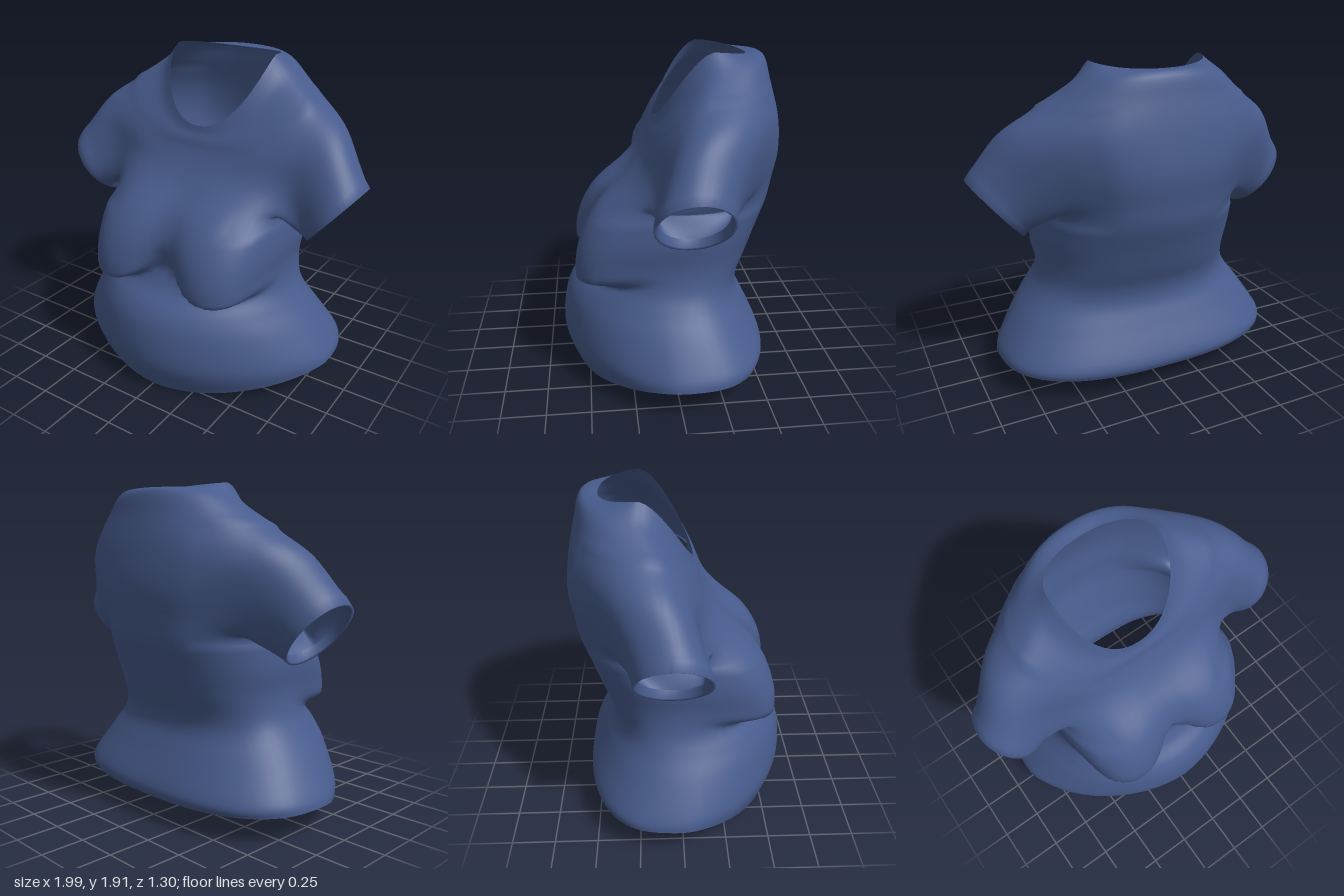
import * as THREE from 'three';

const COLS = 64, SUB = 6;              // columns around the body, rows per key ring
const HOLE = { low: 46, high: 60, half: 6 }; // armhole block in the body grid
const SLEEVE_STEPS = 10;

// Key rings: ySide, yFront, yBack, halfWidth, zFront, zBack, zMiddle,
// front roundness, back roundness, y power
const KEYS = [
  [0.165, 0.00, 0.14, 0.88, 0.58, -0.55, -0.04, 1.8, 2.6, 2],
  [0.23, 0.19, 0.21, 0.86, 0.65, -0.56, -0.04, 1.8, 2.6, 2],
  [0.40, 0.40, 0.40, 0.75, 0.635, -0.47, -0.03, 1.9, 2.4, 2],
  [0.52, 0.52, 0.52, 0.66, 0.58, -0.42, -0.02, 2.0, 2.3, 2],
  [0.62, 0.62, 0.62, 0.605, 0.47, -0.425, -0.03, 2.2, 2.3, 2],
  [0.75, 0.75, 0.75, 0.585, 0.41, -0.48, -0.04, 2.3, 2.3, 2],
  [0.90, 0.90, 0.90, 0.60, 0.43, -0.54, -0.06, 2.4, 2.2, 2],
  [1.05, 1.05, 1.05, 0.595, 0.37, -0.60, -0.08, 2.5, 2.2, 2],
  [1.18, 1.18, 1.18, 0.61, 0.25, -0.625, -0.11, 2.5, 2.2, 1.6],
  [1.38, 1.28, 1.35, 0.68, 0.18, -0.65, -0.12, 2.5, 2.2, 1.4],
  [1.61, 1.37, 1.55, 0.74, 0.13, -0.63, -0.13, 2.5, 2.2, 1.3],
  [1.71, 1.43, 1.74, 0.57, 0.11, -0.59, -0.17, 2.4, 2.2, 1.3],
  [1.82, 1.47, 1.875, 0.42, 0.09, -0.55, -0.23, 2.3, 2.2, 1.3],
  [1.91, 1.51, 1.88, 0.335, 0.08, -0.45, -0.22, 2.2, 2.2, 1.4],
];
const ROWS = (KEYS.length - 1) * SUB;

const smooth = THREE.MathUtils.smoothstep;
const lerp = THREE.MathUtils.lerp;

// Smooth interpolation between the key rings
function ringAt(row) {
  const t = row / SUB, i = Math.min(Math.floor(t), KEYS.length - 2), f = t - i;
  const key = (k) => KEYS[THREE.MathUtils.clamp(k, 0, KEYS.length - 1)];
  return KEYS[0].map((_, c) => {
    const a = key(i - 1)[c], b = key(i)[c], d = key(i + 1)[c], e = key(i + 2)[c];
    const m0 = (d - a) / 2, m1 = (e - b) / 2;
    return b + f * (m0 + f * (3 * (d - b) - 2 * m0 - m1 + f * (2 * (b - d) + m0 + m1)));
  });
}

function bodyPoint(row, col) {
  const [ySide, yFront, yBack, w, zF, zB, zMid, nF, nB, p] = ringAt(row);
  const angle = (col / COLS) * Math.PI * 2;
  const c = Math.cos(angle), s = Math.sin(angle);
  const n = lerp(nB, nF, smooth(s, -0.3, 0.3));
  const x = w * Math.sign(c) * Math.abs(c) ** (2 / n);
  let z = zMid + ((s > 0 ? zF : zB) - zMid) * Math.abs(s) ** (2 / n);
  let y = lerp(ySide, s > 0 ? yFront : yBack, Math.abs(s) ** p);
  // Chest fullness: pulled towards a rounded front, with a folded lower edge
  const ax = Math.abs(x);
  const fold = 0.585 + 1.35 * (ax - 0.36) ** 2;
  const bust = Math.exp(-(((ax - 0.35) / 0.27) ** 4)) * smooth(s, 0.05, 0.6) *
    smooth(y, fold, fold + 0.12) * (1 - smooth(y, 0.76, 1.3));
  const target = 0.565 - 2.2 * Math.max(0, ax - 0.3) ** 2;
  z += bust * Math.max(0, target - z);
  y -= 0.06 * bust;
  return new THREE.Vector3(x, y, z);
}

// Relaxes the chosen vertices towards the average of their neighbours
function relax(points, index, chosen, passes) {
  const near = points.map(() => new Set());
  for (let i = 0; i < index.length; i += 3) {
    for (let k = 0; k < 3; k++) {
      const a = index[i + k], b = index[i + (k + 1) % 3];
      near[a].add(b);
      near[b].add(a);
    }
  }
  for (let pass = 0; pass < passes; pass++) {
    const moved = chosen.map((i) => {
      const mean = new THREE.Vector3();
      near[i].forEach((j) => mean.add(points[j]));
      return points[i].clone().lerp(mean.divideScalar(near[i].size), 0.6);
    });
    chosen.forEach((i, k) => points[i].copy(moved[k]));
  }
}

function shirtGeometry() {
  const points = [], index = [], soft = [];
  const add = (v) => points.push(v) - 1;
  const quad = (a, b, c, d) => index.push(a, c, b, b, c, d); // a,b lower; c,d upper
  const id = (row, col) => row * COLS + ((col + COLS) % COLS);
  const nearSide = (r, c, margin) => r >= HOLE.low - margin && r <= HOLE.high + margin &&
    [0, COLS / 2, COLS].some((mid) => Math.abs(c - mid) <= HOLE.half + margin);
  const inHole = (r, c) => nearSide(r, c, 0) && nearSide(r + 1, c + 1, 0);
  const inside = (r, c) => nearSide(r, c, -1);

  // Body grid, open at hem, neck and both armholes
  for (let r = 0; r <= ROWS; r++) {
    for (let c = 0; c < COLS; c++) {
      const i = add(bodyPoint(r, c));
      if (nearSide(r, c, 4) && !inside(r, c)) soft.push(i);
    }
  }
  for (let r = 0; r < ROWS; r++) {
    for (let c = 0; c < COLS; c++) {
      if (!inHole(r, c)) quad(id(r, c), id(r, c + 1), id(r + 1, c), id(r + 1, c + 1));
    }
  }

  // Sleeves, grown from the armhole edge to a tilted oval cuff
  for (const side of [1, -1]) {
    const mid = side > 0 ? 0 : COLS / 2, h = HOLE.half;
    const loop = [];
    for (let c = -h; c < h; c++) loop.push(id(HOLE.low, mid + c));
    for (let r = HOLE.low; r < HOLE.high; r++) loop.push(id(r, mid + h));
    for (let c = h; c > -h; c--) loop.push(id(HOLE.high, mid + c));
    for (let r = HOLE.high; r > HOLE.low; r--) loop.push(id(r, mid - h));

    const box = new THREE.Box3().setFromPoints(loop.map((i) => points[i]));
    const centre = box.getCenter(new THREE.Vector3()), size = box.getSize(new THREE.Vector3());
    const axis = new THREE.Vector3(0.77 * side, -0.64, 0);
    const cuffPoint = (a, scale, depth) => new THREE.Vector3(
      side * (0.847 + 0.15 * Math.sin(a) * scale),
      1.105 + 0.175 * Math.sin(a) * scale,
      -0.055 + 0.212 * Math.cos(a) * scale).addScaledVector(axis, -depth);

    const paths = loop.map((i) => {
      const p0 = points[i];
      const a = Math.atan2((p0.y - centre.y) / size.y, (p0.z - centre.z) / size.z);
      const top = (Math.sin(a) + 1) / 2;
      const p3 = cuffPoint(a, 1, 0);
      const p1 = p0.clone().add(new THREE.Vector3(side * lerp(0.03, 0.13, top), lerp(-0.1, 0.01, top), 0));
      const p2 = p3.clone().addScaledVector(axis, -lerp(0.07, 0.16, top));
      p2.y += 0.05 * top;
      const path = new THREE.CubicBezierCurve3(p0, p1, p2, p3).getPoints(SLEEVE_STEPS);
      // Turned-in cuff edge
      path.push(cuffPoint(a, 0.93, 0.005), cuffPoint(a, 0.87, 0.05));
      return path;
    });
    let previous = loop;
    for (let k = 1; k < paths[0].length; k++) {
      const ring = paths.map((path) => add(path[k]));
      ring.forEach((i, m) => {
        const next = (m + 1) % ring.length;
        quad(previous[m], previous[next], ring[m], ring[next]);
        if (k < SLEEVE_STEPS - 1) soft.push(i);
      });
      previous = ring;
    }
  }
  relax(points, index, soft, 14);

  const geometry = new THREE.BufferGeometry().setFromPoints(points);
  geometry.setIndex(index);
  geometry.computeVertexNormals();
  return geometry;
}

export function createModel() {
  const fabric = new THREE.MeshStandardMaterial({ color: 0x475b8c, side: THREE.DoubleSide });
  fabric.name = 'blue fabric';
  const shirt = new THREE.Mesh(shirtGeometry(), fabric);
  shirt.name = 'shirt';
  const group = new THREE.Group();
  group.name = 'shortSleevedShirt';
  group.add(shirt);
  return group;
}
